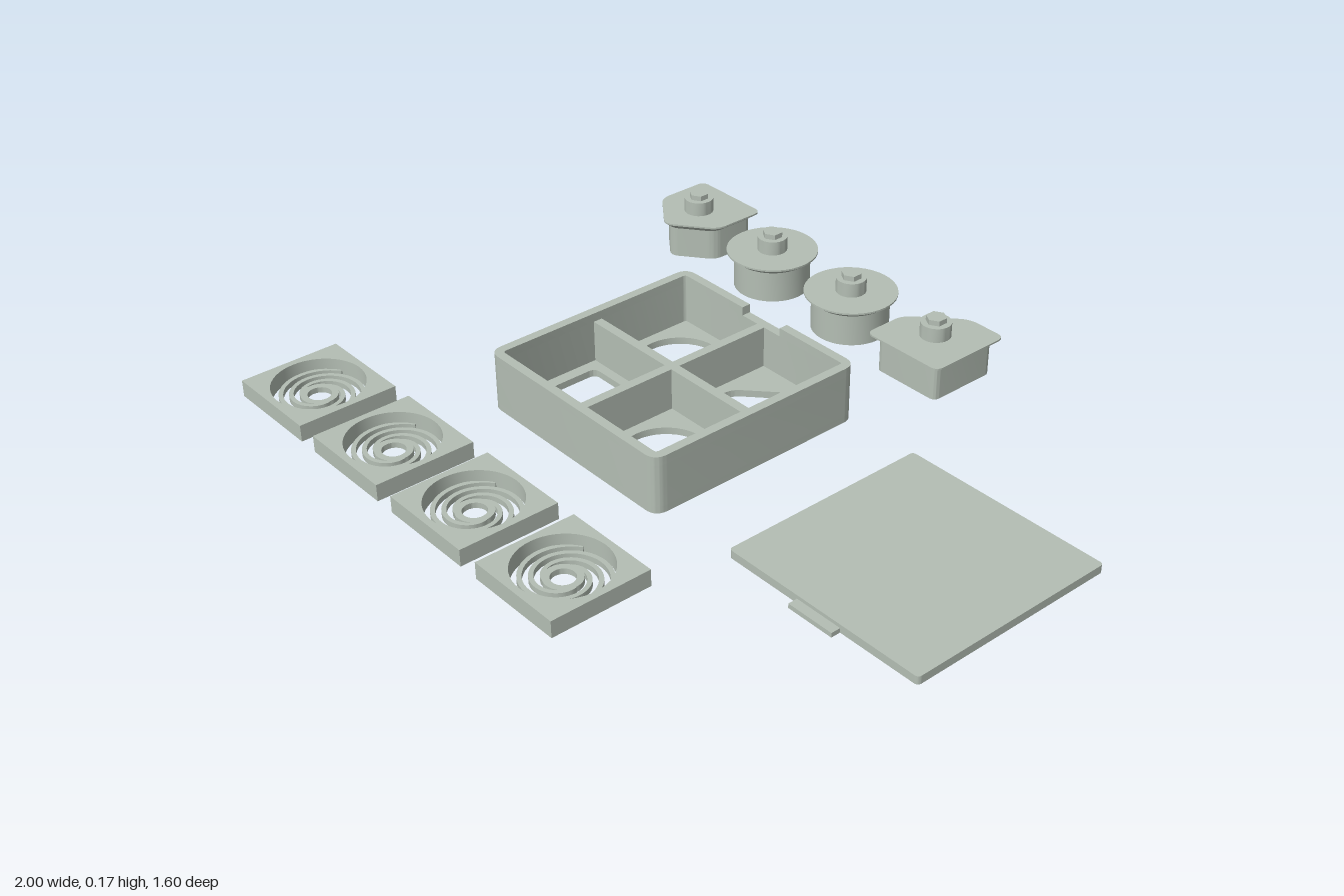
import * as THREE from 'three';
import { toCreasedNormals } from 'three/addons/utils/BufferGeometryUtils.js';

const plastic = new THREE.MeshStandardMaterial({ color: 0xb4beb4 });
plastic.name = 'sage plastic';

// Closed outline through [x, z, cornerRadius] points
function outline(pts, Type = THREE.Shape) {
  const path = new Type();
  const n = pts.length;
  pts.forEach(([x, z, r = 0], i) => {
    const toward = ([px, pz]) => {
      const k = r / Math.hypot(px - x, pz - z);
      return [x + (px - x) * k, z + (pz - z) * k];
    };
    const a = toward(pts[(i + n - 1) % n]);
    const b = toward(pts[(i + 1) % n]);
    if (i === 0) path.moveTo(...a); else path.lineTo(...a);
    if (r > 0) path.quadraticCurveTo(x, z, ...b);
  });
  path.closePath();
  return path;
}

const rect = (x0, x1, z0, z1, r, Type) =>
  outline([[x0, z0, r], [x1, z0, r], [x1, z1, r], [x0, z1, r]], Type);

const circle = (r, Type = THREE.Shape, x = 0, z = 0) => {
  const path = new Type();
  path.absarc(x, z, r, 0, Math.PI * 2, false);
  return path;
};

// Plan-view shape raised from y0 by height h
function slab(shape, y0, h, curveSegments = 20) {
  const geo = new THREE.ExtrudeGeometry(shape, { depth: h, bevelEnabled: false, curveSegments });
  return geo.rotateX(Math.PI / 2).translate(0, y0 + h, 0);
}

function add(parent, name, geo, creased = true) {
  const mesh = new THREE.Mesh(creased ? toCreasedNormals(geo, 0.5) : geo, plastic);
  mesh.name = name;
  parent.add(mesh);
  return mesh;
}

function block(parent, name, x0, x1, y0, y1, z0, z1) {
  const geo = new THREE.BoxGeometry(x1 - x0, y1 - y0, z1 - z0);
  geo.translate((x0 + x1) / 2, (y0 + y1) / 2, (z0 + z1) / 2);
  return add(parent, name, geo, false);
}

// Plug outlines, shared by the plugs and the matching floor holes
const plans = {
  round: (s, T, x = 0, z = 0) => circle(0.132 * s, T, x, z),
  pointed: (s, T, x = 0, z = 0) => outline(
    [[-0.13, -0.13, 0.025], [0.13, -0.13, 0.025], [0.13, 0.035, 0.03], [0, 0.135, 0.03], [-0.13, 0.035, 0.03]]
      .map(([a, b, r]) => [x + a * s, z + b * s, r * s]), T),
  clipped: (s, T, x = 0, z = 0) => outline(
    [[0.005, -0.13, 0.03], [0.13, -0.13, 0.025], [0.13, 0.13, 0.025], [-0.13, 0.13, 0.025], [-0.13, -0.005, 0.03]]
      .map(([a, b, r]) => [x + a * s, z + b * s, r * s]), T),
};

function makeBox() {
  const box = new THREE.Group();
  box.name = 'dividedBox';
  const [x0, x1, z0, z1] = [-0.53, 0.142, -0.345, 0.328];
  const [ix0, ix1, iz0, iz1] = [-0.504, 0.116, -0.319, 0.302];
  const floorTop = 0.02, ledge = 0.14, top = 0.165;

  // Floor with one hole per compartment
  const floor = rect(x0, x1, z0, z1, 0.04);
  [['round', -0.355, -0.17], ['clipped', -0.033, -0.17],
    ['pointed', -0.355, 0.147], ['round', -0.033, 0.15]].forEach(([kind, x, z]) =>
    floor.holes.push(plans[kind](0.885, THREE.Path, x, z)));
  add(box, 'floor', slab(floor, 0, floorTop));

  // Outer wall
  const wall = rect(x0, x1, z0, z1, 0.04);
  wall.holes.push(rect(ix0, ix1, iz0, iz1, 0.01, THREE.Path));
  add(box, 'wall', slab(wall, floorTop, ledge - floorTop));

  // Rim, open at the back for the lid tab
  const [n0, n1] = [-0.267, -0.12];
  add(box, 'notchedRim', slab(outline([
    [n1, z0], [x1, z0, 0.04], [x1, z1, 0.04], [x0, z1, 0.04], [x0, z0, 0.04], [n0, z0],
    [n0, iz0], [ix0, iz0, 0.01], [ix0, iz1, 0.01], [ix1, iz1, 0.01], [ix1, iz0, 0.01], [n1, iz0],
  ]), ledge, top - ledge));

  // Crossed dividers, stopping below the lid
  block(box, 'longDivider', -0.208, -0.181, floorTop, ledge, iz0, iz1);
  block(box, 'leftDivider', -0.181, ix1, floorTop, ledge, -0.023, 0.004);
  block(box, 'rightDivider', ix0, -0.208, floorTop, ledge, -0.023, 0.004);
  return box;
}

function makePlug(kind, x) {
  const plug = new THREE.Group();
  plug.name = kind + 'Plug';
  const inner = 0.835;
  add(plug, 'plugBody', slab(plans[kind](inner), 0, 0.092));

  // Flange flares out from the body to a thin edge
  const flare = slab(plans[kind](1), 0.092, 0.016);
  const p = flare.attributes.position;
  for (let i = 0; i < p.count; i++) {
    if (p.getY(i) < 0.1) p.setXYZ(i, p.getX(i) * inner, p.getY(i), p.getZ(i) * inner);
  }
  add(plug, 'flangeFlare', flare);
  add(plug, 'flangeEdge', slab(plans[kind](1), 0.108, 0.005));

  add(plug, 'boss', new THREE.CylinderGeometry(0.043, 0.043, 0.042, 32).translate(0, 0.134, 0));
  add(plug, 'hexPeg', new THREE.CylinderGeometry(0.029, 0.029, 0.015, 6).translate(0, 0.1625, 0));
  plug.position.set(x, 0, -0.67);
  return plug;
}

// Curved spring arm winding one turn from hub to frame
function springArm(start) {
  const steps = 48, half = 0.0062;
  const edge = (offset) => Array.from({ length: steps + 1 }, (_, i) => {
    const t = i / steps, a = start + t * Math.PI * 2, r = 0.045 + t * 0.083 + offset;
    return new THREE.Vector2(Math.cos(a) * r, Math.sin(a) * r);
  });
  return new THREE.Shape([...edge(half), ...edge(-half).reverse()]);
}

function makeSpringTile(x) {
  const tile = new THREE.Group();
  tile.name = 'springTile';
  const frame = rect(-0.145, 0.145, -0.145, 0.145, 0);
  frame.holes.push(circle(0.126, THREE.Path));
  add(tile, 'frame', slab(frame, 0, 0.048, 24));

  const hub = circle(0.05);
  hub.holes.push(circle(0.032, THREE.Path));
  add(tile, 'hub', slab(hub, 0, 0.016));
  for (let i = 0; i < 3; i++) {
    add(tile, 'springArm', slab(springArm(i * Math.PI * 2 / 3), 0, 0.016));
  }
  tile.position.set(x, 0, 0.655);
  return tile;
}

function makeLid() {
  const lid = new THREE.Group();
  lid.name = 'lid';
  add(lid, 'lidPanel', slab(rect(0.38, 1, -0.32, 0.3, 0.012), 0, 0.023));
  block(lid, 'lidTab', 0.615, 0.757, 0, 0.013, 0.29, 0.327);
  return lid;
}

export function createModel() {
  const model = new THREE.Group();
  model.name = 'puzzleBoxKit';
  model.add(makeBox(), makeLid());
  ['pointed', 'round', 'round', 'clipped'].forEach((kind, i) =>
    model.add(makePlug(kind, -0.855 + i * 0.3235)));
  for (let i = 0; i < 4; i++) model.add(makeSpringTile(-0.855 + i * 0.352));
  return model;
}
